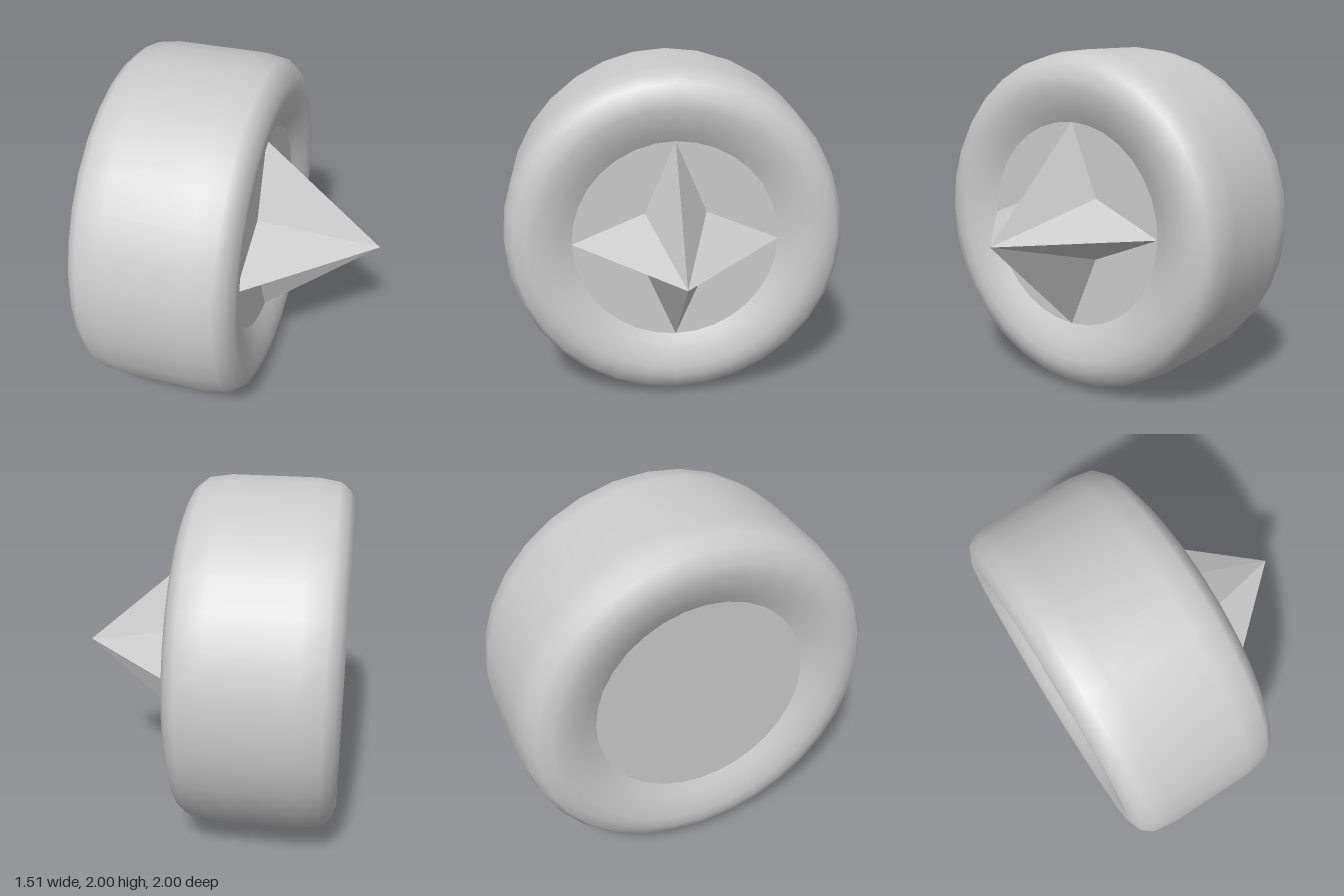
import * as THREE from 'three';

export function createModel() {
  const model = new THREE.Group();
  const smooth = new THREE.MeshStandardMaterial({ color: 0xcccccc });
  const flat = new THREE.MeshStandardMaterial({ color: 0xcccccc, flatShading: true });

  const add = (name, geometry, material, y = 0) => {
    const mesh = new THREE.Mesh(geometry, material);
    mesh.name = name;
    mesh.position.y = y;
    wheel.add(mesh);
    return mesh;
  };

  // Wheel is built around y, then laid over so its outer face points to +x
  const wheel = new THREE.Group();
  wheel.name = 'wheel';
  wheel.rotation.z = -Math.PI / 2;
  wheel.position.y = 1;
  model.add(wheel);

  // Tyre: half profile as [radius, inset from the side], mirrored about the mid plane
  const mid = -0.3025, halfWidth = 0.4525, hubRadius = 0.6, hubInset = 0.07;
  const half = [
    [hubRadius, hubInset], [0.66, 0.04], [0.73, 0.013], [0.8, 0], [0.86, 0],
    [0.935, 0.03], [0.98, 0.085], [1, 0.215],
  ];
  const profile = [
    ...half.map(([r, d]) => new THREE.Vector2(r, mid - halfWidth + d)),
    ...half.slice().reverse().map(([r, d]) => new THREE.Vector2(r, mid + halfWidth - d)),
  ];
  add('tyre', new THREE.LatheGeometry(profile, 32), smooth);

  // Recessed flat hubs on both sides
  for (const side of [1, -1]) {
    const disc = new THREE.CircleGeometry(hubRadius, 32).rotateX(-side * Math.PI / 2);
    add(side > 0 ? 'outerHub' : 'innerHub', disc, smooth, mid + side * (halfWidth - hubInset));
  }

  // Four-pointed star spike: eight-sided cone with every other base corner pulled in
  const base = mid + halfWidth - hubInset, length = 0.755 - base;
  const spike = new THREE.ConeGeometry(hubRadius, length, 8, 1, true);
  const p = spike.attributes.position;
  for (let i = 0; i < p.count; i++) {
    const x = p.getX(i), z = p.getZ(i);
    if (Math.min(Math.abs(x), Math.abs(z)) > 0.1) p.setXYZ(i, x * 0.42, p.getY(i), z * 0.42);
  }
  const faceted = spike.toNonIndexed();
  faceted.computeVertexNormals();
  add('starSpike', faceted, flat, base + length / 2);

  return model;
}
